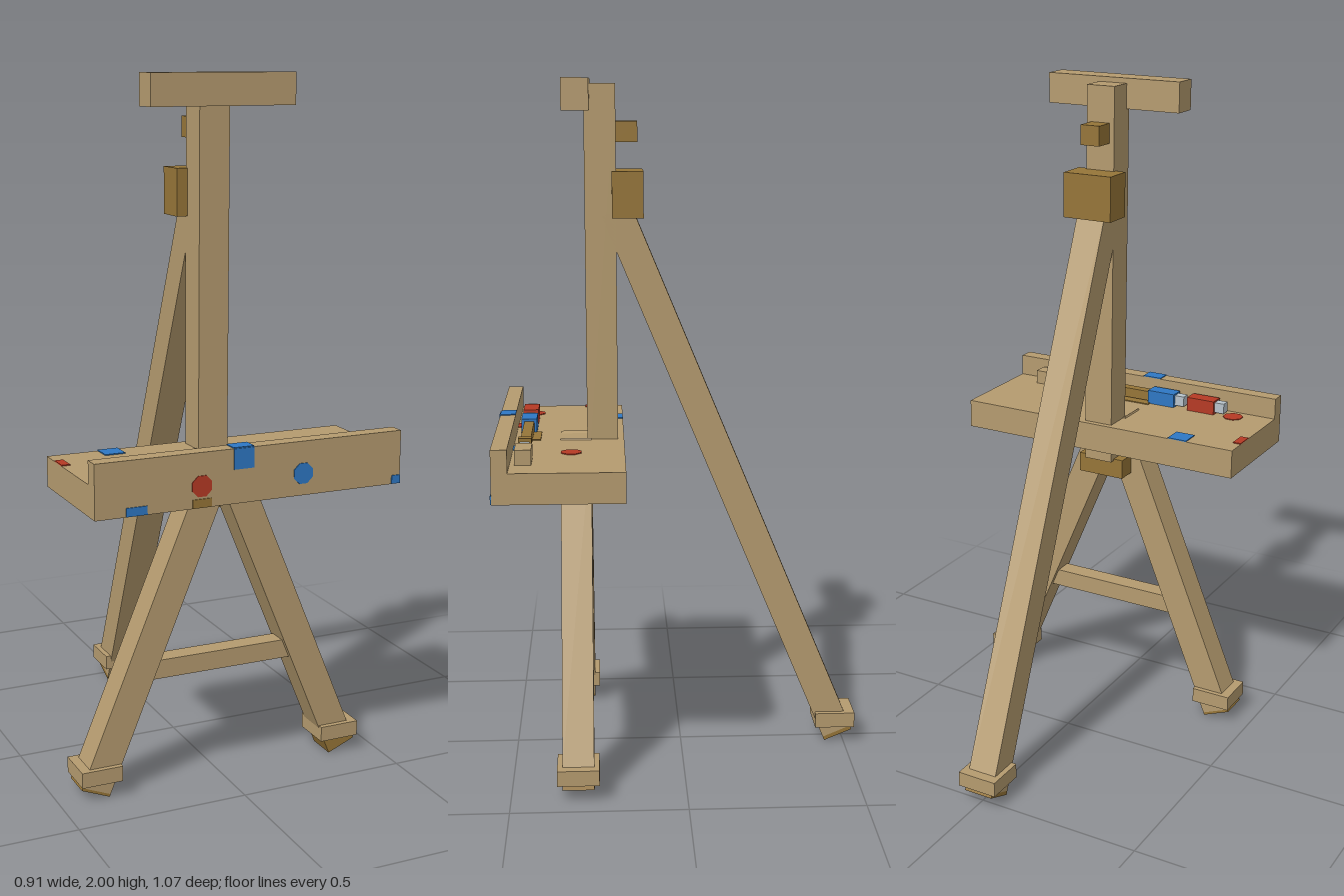
import * as THREE from 'three';

const mat = (name, color) => {
  const m = new THREE.MeshStandardMaterial({ color });
  m.name = name;
  return m;
};

export function createModel() {
  const wood = mat('pale wood', 0xb59b6f);
  const brown = mat('brown wood', 0x967538);
  const red = mat('red paint', 0xb63a24);
  const blue = mat('blue paint', 0x2e78c4);
  const metal = mat('grey metal', 0xb9c4cc);
  const root = new THREE.Group();
  root.name = 'easel';

  // box given by its extents on each axis
  const box = (name, m, x0, x1, y0, y1, z0, z1, parent = root) => {
    const mesh = new THREE.Mesh(new THREE.BoxGeometry(x1 - x0, y1 - y0, z1 - z0), m);
    mesh.position.set((x0 + x1) / 2, (y0 + y1) / 2, (z0 + z1) / 2);
    mesh.name = name;
    parent.add(mesh);
    return mesh;
  };

  // square leg between two points, with a brown foot and a level collar
  const leg = (name, foot, top, footLength, collar) => {
    const group = new THREE.Group();
    group.name = name;
    const a = new THREE.Vector3(...foot), b = new THREE.Vector3(...top);
    const length = a.distanceTo(b);
    const beam = new THREE.Group();
    beam.position.copy(a);
    beam.quaternion.setFromUnitVectors(new THREE.Vector3(0, 1, 0), b.clone().sub(a).normalize());
    const h = 0.045;
    box(name + 'Beam', wood, -h, h, footLength, length, -h, h, beam);
    box(name + 'Foot', brown, -h, h, 0, footLength, -h, h, beam);
    group.add(beam);
    const [cx, cz] = collar;
    box(name + 'Collar', wood, cx - 0.061, cx + 0.061, 0.05, 0.095, cz - 0.06, cz + 0.06, group);
    root.add(group);
  };
  leg('leftFrontLeg', [0.395, 0.019, 0.309], [0.01, 0.95, 0.309], 0.06, [0.379, 0.309]);
  leg('rightFrontLeg', [-0.395, 0.019, 0.309], [-0.01, 0.95, 0.309], 0.008, [-0.379, 0.309]);
  leg('backLeg', [0, 0.019, -0.484], [0, 1.63, 0.186], 0.012, [0, -0.472]);
  box('crossbar', wood, -0.24, 0.24, 0.325, 0.38, 0.28, 0.338);

  // mast, top clamp and hinge hardware
  box('mast', wood, -0.045, 0.045, 0.84, 1.985, 0.186, 0.276);
  box('topClamp', wood, -0.214, 0.214, 1.912, 2, 0.26, 0.336);
  box('clampKnob', brown, -0.03, 0.03, 1.822, 1.88, 0.124, 0.19);
  box('hingeBlock', brown, -0.077, 0.077, 1.61, 1.742, 0.108, 0.198);
  box('lowerBlock', brown, -0.075, 0.075, 0.785, 0.845, 0.204, 0.266);

  // tray with front lip
  box('trayBoard', wood, -0.457, 0.457, 0.875, 0.962, 0.168, 0.487);
  box('trayLip', wood, -0.457, 0.457, 0.875, 1.027, 0.487, 0.532);

  // brushes lying in the tray
  const brush = (name, x, m) => {
    const g = new THREE.Group();
    g.name = name;
    box(name + 'Ferrule', metal, x - 0.031, x, 0.968, 1.0, 0.436, 0.464, g);
    box(name + 'Tip', m, x, x + 0.091, 0.962, 1.005, 0.427, 0.473, g);
    root.add(g);
  };
  brush('redBrush', -0.276, red);
  brush('blueBrush', -0.138, blue);
  brush('cleanBrush', 0.274, wood);
  box('brushHandle', brown, -0.047, 0.22, 0.968, 0.998, 0.435, 0.464);
  box('brushHandleEnd', brown, 0.212, 0.243, 0.962, 1.01, 0.431, 0.468);

  // paint spots on the tray top, clipped at its edges
  const t = 0.003;
  const spots = [
    [blue, -0.307, -0.247, 0.168, 0.228], [red, -0.457, -0.432, 0.23, 0.287],
    [red, -0.177, -0.125, 0.474, 0.487], [blue, 0.13, 0.18, 0.474, 0.487],
    [brown, -0.055, 0.057, 0.412, 0.47],
  ];
  for (const [m, x0, x1, z0, z1] of spots) box('traySpot', m, x0, x1, 0.962, 0.962 + t, z0, z1);

  // paint spots on the tray front
  const drips = [
    [blue, -0.06, 0, 0.97, 1.027], [brown, -0.18, -0.125, 0.876, 0.9],
    [blue, -0.37, -0.31, 0.876, 0.9], [blue, 0.43, 0.457, 0.876, 0.9],
  ];
  for (const [m, x0, x1, y0, y1] of drips) box('frontSpot', m, x0, x1, y0, y1, 0.532, 0.532 + t);
  box('lipSpot', blue, -0.06, 0, 1.027, 1.027 + t, 0.487, 0.532);

  // whole round spots
  const round = (m, x, y, z, front) => {
    const geo = new THREE.CylinderGeometry(0.031, 0.031, t, 8);
    geo.rotateY(Math.PI / 8);
    if (front) geo.rotateX(Math.PI / 2);
    const mesh = new THREE.Mesh(geo, m);
    mesh.position.set(x, y, z);
    mesh.name = 'roundSpot';
    root.add(mesh);
  };
  round(red, 0.214, 0.963, 0.32, false);
  round(red, -0.337, 0.963, 0.441, false);
  round(red, -0.153, 0.935, 0.533, true);
  round(blue, 0.15, 0.937, 0.533, true);

  return root;
}
